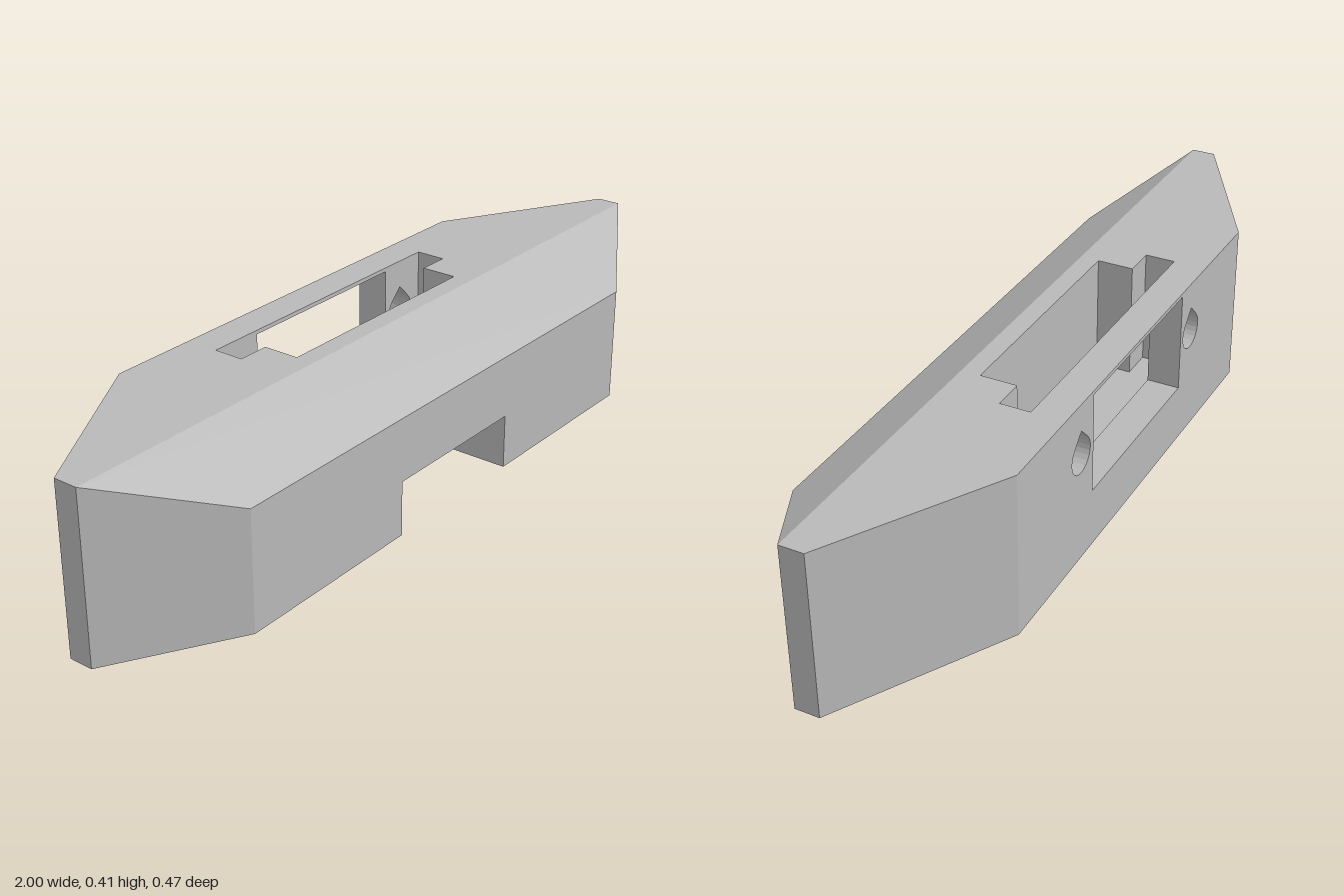
import * as THREE from 'three';
import { mergeGeometries } from 'three/addons/utils/BufferGeometryUtils.js';

// Main dimensions
const H = 0.413, FRONT = 0.235, BACK = -0.235, RIDGE = 0.06, LOW = 0.295;
const BACK_W = 0.594, FRONT_W = 0.707;
const NOTCH_W = 0.205, NOTCH_H = 0.137, NOTCH_Z = -0.005;
const FLOOR = 0.12, WIDE = 0.377, NARROW = 0.297;
const P_BACK = -0.153, P_STEP = -0.078, P_FRONT = 0.013;

// Planes: map a 2D point to 3D
const onX = x => (z, y) => [x, y, z];
const onY = y => (x, z) => [x, y, z];
const onZ = z => (x, y) => [x, y, z];
const rect = (a, b, c, d) => [[a, b], [c, b], [c, d], [a, d]];
const mirrorLoop = half => [...half, ...half.map(([x, v]) => [-x, v]).reverse()];

// Flat face with holes, wound so that it looks towards the hint direction
function face(loop, map, hint, holes = []) {
  const vec = l => l.map(([u, v]) => new THREE.Vector2(u, v));
  const shape = new THREE.Shape(vec(loop));
  holes.forEach(h => shape.holes.push(new THREE.Path(vec(h))));
  const g = new THREE.ShapeGeometry(shape).toNonIndexed();
  g.deleteAttribute('uv');
  const p = g.attributes.position;
  for (let i = 0; i < p.count; i++) p.setXYZ(i, ...map(p.getX(i), p.getY(i)));
  g.computeVertexNormals();
  const n = new THREE.Vector3().fromBufferAttribute(g.attributes.normal, 0);
  if (n.dot(new THREE.Vector3(...hint)) < 0) {
    for (let i = 0; i < p.count; i += 3) {
      const a = [p.getX(i), p.getY(i), p.getZ(i)];
      p.setXYZ(i, p.getX(i + 1), p.getY(i + 1), p.getZ(i + 1));
      p.setXYZ(i + 1, ...a);
    }
    g.computeVertexNormals();
  }
  return g;
}

// Four-cornered face given by its 3D corners
function quad(a, b, c, d, hint) {
  const corners = [a, b, c, d];
  const map = (u, v) => corners[u ? (v ? 2 : 1) : (v ? 3 : 0)];
  return face(rect(0, 0, 1, 1), map, hint);
}

// Inward-facing walls of an opening running along z
function tunnel(loop, z0, z1) {
  const cx = loop.reduce((s, p) => s + p[0], 0) / loop.length;
  const cy = loop.reduce((s, p) => s + p[1], 0) / loop.length;
  return loop.map((p, i) => {
    const q = loop[(i + 1) % loop.length];
    const hint = [cx - (p[0] + q[0]) / 2, cy - (p[1] + q[1]) / 2, 0];
    return quad([...p, z0], [...q, z0], [...q, z1], [...p, z1], hint);
  });
}

// Round hole with a pointed top
function teardrop(cx, cy, r) {
  const pts = [[cx, cy + r * 1.42]];
  for (let i = 0; i <= 18; i++) {
    const a = Math.PI * (0.75 + 1.5 * i / 18);
    pts.push([cx + r * Math.cos(a), cy + r * Math.sin(a)]);
  }
  return pts;
}

export function createModel() {
  const model = new THREE.Group();
  const grey = new THREE.MeshStandardMaterial({ color: 0xb8b8b8 });
  grey.name = 'grey';
  const add = (name, faces) => {
    const mesh = new THREE.Mesh(mergeGeometries(faces), grey);
    mesh.name = name;
    model.add(mesh);
  };
  const UP = [0, 1, 0], DOWN = [0, -1, 0], FWD = [0, 0, 1], AFT = [0, 0, -1];

  const rearWindow = rect(-0.24, 0.15, 0.24, 0.403);
  const screwHoles = [-0.3, 0.3].map(x => teardrop(x, 0.28, 0.045));
  const openings = [rearWindow, ...screwHoles];
  const pocketLoop = mirrorLoop([[WIDE, P_BACK], [WIDE, P_STEP], [NARROW, P_STEP], [NARROW, P_FRONT]]);

  // Outer shell: boat-shaped outline with a sloped front top edge
  const shell = [
    face(rect(-BACK_W, 0, BACK_W, H), onZ(BACK), AFT, openings),
    face(mirrorLoop([[NOTCH_W, NOTCH_H], [NOTCH_W, 0], [FRONT_W, 0], [FRONT_W, LOW]]), onZ(FRONT), FWD),
    face(mirrorLoop([[BACK_W, BACK], [1, 0], [1, RIDGE], [FRONT_W, FRONT], [NOTCH_W, FRONT], [NOTCH_W, NOTCH_Z]]),
      onY(0), DOWN),
    face(mirrorLoop([[BACK_W, BACK], [1, 0], [1, RIDGE]]), onY(H), UP, [pocketLoop]),
    quad([-1, H, RIDGE], [1, H, RIDGE], [FRONT_W, LOW, FRONT], [-FRONT_W, LOW, FRONT], [0, 1, 1]),
  ];
  for (const s of [-1, 1]) {
    shell.push(
      quad([s * BACK_W, 0, BACK], [s, 0, 0], [s, H, 0], [s * BACK_W, H, BACK], [s, 0, -1]),
      quad([s, 0, 0], [s, 0, RIDGE], [s, H, RIDGE], [s, H, 0], [s, 0, 0]),
      quad([s, 0, RIDGE], [s * FRONT_W, 0, FRONT], [s * FRONT_W, LOW, FRONT], [s, H, RIDGE], [s, 0, 1]));
  }
  add('bodyShell', shell);

  // Stepped pocket open at the top
  const pocket = [
    face(mirrorLoop([[WIDE, P_BACK], [WIDE, P_STEP], [NARROW, P_STEP], [NARROW, P_FRONT],
      [NOTCH_W, P_FRONT], [NOTCH_W, NOTCH_Z]]), onY(FLOOR), UP),
    face(rect(-WIDE, FLOOR, WIDE, H), onZ(P_BACK), FWD, openings),
    face(mirrorLoop([[NOTCH_W, NOTCH_H], [NOTCH_W, FLOOR], [NARROW, FLOOR], [NARROW, H]]), onZ(P_FRONT), AFT),
  ];
  // Notch under the front, breaking into the pocket floor
  const notch = [
    face(rect(-NOTCH_W, 0, NOTCH_W, FLOOR), onZ(NOTCH_Z), FWD),
    face(rect(-NOTCH_W, P_FRONT, NOTCH_W, FRONT), onY(NOTCH_H), DOWN),
  ];
  for (const s of [-1, 1]) {
    pocket.push(
      face(rect(P_BACK, FLOOR, P_STEP, H), onX(s * WIDE), [-s, 0, 0]),
      face(rect(s * NARROW, FLOOR, s * WIDE, H), onZ(P_STEP), AFT),
      face(rect(P_STEP, FLOOR, P_FRONT, H), onX(s * NARROW), [-s, 0, 0]));
    notch.push(face([[NOTCH_Z, 0], [FRONT, 0], [FRONT, NOTCH_H], [P_FRONT, NOTCH_H], [P_FRONT, FLOOR], [NOTCH_Z, FLOOR]],
      onX(s * NOTCH_W), [-s, 0, 0]));
  }
  add('topPocket', pocket);
  add('frontNotch', notch);

  // Openings from the back into the pocket
  add('rearWindow', tunnel(rearWindow, BACK, P_BACK));
  add('screwHoles', screwHoles.flatMap(h => tunnel(h, BACK, P_BACK)));
  return model;
}
